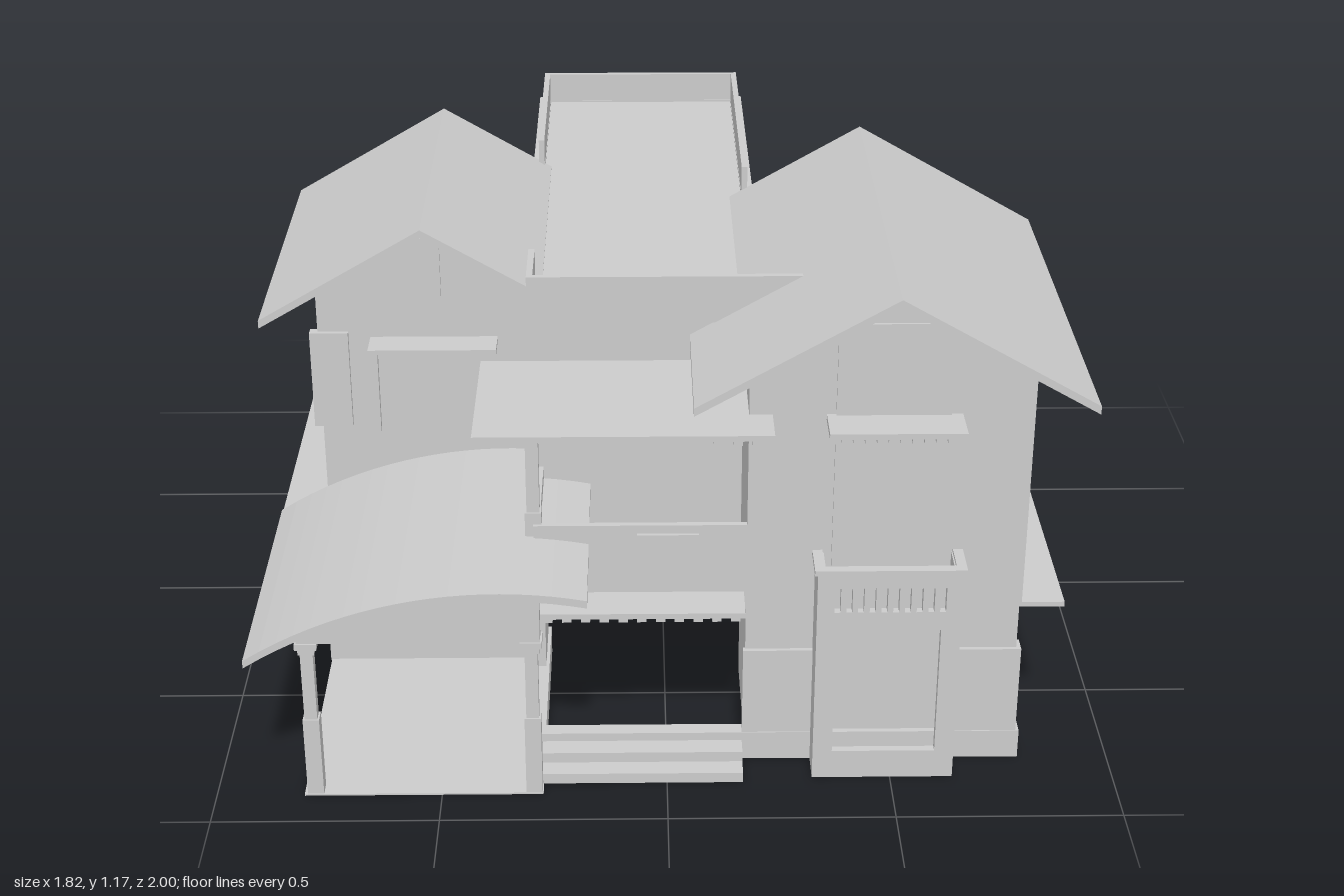
import * as THREE from 'three';

const grey = new THREE.MeshStandardMaterial({ color: 0xcccccc, side: THREE.DoubleSide, flatShading: true });

export function createModel() {
  const house = new THREE.Group();
  house.name = 'house';

  const add = (name, geometry, parent = house) => {
    const mesh = new THREE.Mesh(geometry, grey);
    mesh.name = name;
    parent.add(mesh);
  };
  // box from its two opposite corners
  const box = (name, x0, x1, y0, y1, z0, z1, parent) => {
    const g = new THREE.BoxGeometry(x1 - x0, y1 - y0, z1 - z0);
    g.translate((x0 + x1) / 2, (y0 + y1) / 2, (z0 + z1) / 2);
    add(name, g, parent);
  };
  const shapeOf = (pts) => new THREE.Shape(pts.map(([x, y]) => new THREE.Vector2(x, y)));
  // front profile pushed along z
  const prism = (name, shape, z0, z1) => {
    const g = new THREE.ExtrudeGeometry(shape, { depth: z1 - z0, bevelEnabled: false });
    g.translate(0, 0, z0);
    add(name, g);
  };
  // chain of axis-aligned walls centred on a plan path
  const walls = (name, path, y0, y1, t) => {
    const group = new THREE.Group();
    group.name = name;
    for (let i = 0; i < path.length - 1; i++) {
      const [ax, az] = path[i], [bx, bz] = path[i + 1];
      box(name + 'Run', Math.min(ax, bx) - t / 2, Math.max(ax, bx) + t / 2, y0, y1,
        Math.min(az, bz) - t / 2, Math.max(az, bz) + t / 2, group);
    }
    house.add(group);
  };

  // ground floor: open-bottomed wall shell with an open entrance
  walls('groundWall', [[-0.29, 0.48], [-0.29, 0.33], [-0.78, 0.33], [-0.78, -0.89], [0.77, -0.89],
    [0.77, 0.75], [0.185, 0.75], [0.185, 0.48]], 0.05, 0.395, 0.02);
  walls('plinth', [[-0.29, 0.755], [-0.29, 0.33], [-0.79, 0.33], [-0.79, -0.89], [0.78, -0.89],
    [0.78, 0.755], [-0.29, 0.755]], 0, 0.07, 0.035);

  // projecting floor band, open over the hollow interior (plan drawn with y = -z)
  const band = shapeOf([[-0.9, 1], [0.88, 1], [0.88, -0.76], [-0.29, -0.76], [-0.29, -0.33], [-0.9, -0.33]]);
  band.holes.push(shapeOf([[-0.77, 0.88], [0.76, 0.88], [0.76, -0.74], [0.195, -0.74], [0.195, -0.465],
    [-0.28, -0.465], [-0.28, -0.32], [-0.77, -0.32]]));
  const bandGeometry = new THREE.ExtrudeGeometry(band, { depth: 0.012, bevelEnabled: false });
  bandGeometry.rotateX(-Math.PI / 2);
  bandGeometry.translate(0, 0.389, 0);
  add('floorBand', bandGeometry);

  // gabled wings: end walls and roof
  const wing = (name, cx, half, z0, z1, ridge, slope, roofL, roofR, rz0, rz1) => {
    const t = 0.019, eave = ridge - t - slope * half;
    const gable = shapeOf([[cx - half, 0.395], [cx + half, 0.395], [cx + half, eave],
      [cx, ridge - t], [cx - half, eave]]);
    prism(name + 'BackWall', gable, z0, z0 + 0.012);
    prism(name + 'FrontWall', gable, z1 - 0.012, z1);
    const yl = ridge - slope * (cx - roofL), yr = ridge - slope * (roofR - cx);
    prism(name + 'Roof', shapeOf([[roofL, yl], [roofL, yl - t], [cx, ridge - t], [roofR, yr - t],
      [roofR, yr], [cx, ridge]]), rz0, rz1);
  };
  wing('leftWing', -0.54, 0.25, -0.3, 0.33, 1.15, 0.585, -0.91, -0.275, -0.39, 0.41);
  wing('rightWing', 0.48, 0.305, -0.09, 0.76, 1.172, 0.575, 0.055, 0.905, -0.185, 0.85);
  walls('leftWingSide', [[-0.784, -0.294], [-0.784, 0.324]], 0.395, 0.985, 0.012);
  walls('rightWingSide', [[0.779, -0.084], [0.779, 0.754]], 0.395, 0.977, 0.012);
  walls('rightWingInnerSide', [[0.181, 0.754], [0.181, 0.476]], 0.395, 0.977, 0.012);

  // central block: exposed walls, flat roof, parapets and ledge
  walls('centralWall', [[-0.299, -0.294], [-0.299, -0.894], [0.204, -0.894], [0.204, -0.084]], 0.395, 0.99, 0.012);
  walls('centralFrontWall', [[-0.299, 0.324], [-0.299, 0.476], [0.181, 0.476]], 0.395, 0.99, 0.012);
  box('flatRoof', -0.305, 0.21, 0.98, 0.992, -0.9, 0.48);
  walls('roofParapet', [[-0.298, -0.383], [-0.298, -0.893], [0.203, -0.893], [0.203, -0.19]], 0.98, 1.07, 0.014);
  walls('frontParapet', [[-0.298, 0.335], [-0.298, 0.481], [0.3, 0.481]], 0.96, 1.07, 0.014);
  walls('roofLedge', [[-0.305, -0.385], [-0.305, -0.9], [0.21, -0.9], [0.21, -0.19]], 0.985, 0.997, 0.03);

  // rear terraces
  box('leftTerraceFloor', -0.785, -0.3, 0.52, 0.53, -0.895, -0.29);
  box('rightTerraceFloor', 0.2, 0.775, 0.52, 0.53, -0.895, -0.08);
  walls('leftTerraceParapet', [[-0.785, -0.3], [-0.785, -0.893], [-0.3, -0.893]], 0.395, 0.6, 0.014);
  walls('rightTerraceParapet', [[0.778, -0.09], [0.778, -0.893], [0.2, -0.893]], 0.395, 0.6, 0.014);

  // front balcony, canopies with dentils and hanging lamps
  walls('balconyParapet', [[-0.283, 0.48], [-0.283, 0.753], [0.18, 0.753]], 0.395, 0.6, 0.014);
  box('balconyPlaque', -0.065, 0.07, 0.545, 0.58, 0.76, 0.768);
  const canopy = (name, x0, x1, y, z0, z1, dx0, dx1, count) => {
    box(name, x0, x1, y, y + 0.013, z0, z1);
    const step = (dx1 - dx0) / count;
    for (let i = 0; i < count; i++) {
      const x = dx0 + step * (i + 0.25);
      box(name + 'Dentil', x, x + step * 0.5, y - 0.02, y, z0, z1 - 0.02);
    }
  };
  canopy('upperCanopy', -0.41, 0.225, 0.855, 0.488, 0.86, -0.28, 0.21, 12);
  canopy('entranceCanopy', -0.28, 0.17, 0.42, 0.755, 0.853, -0.28, 0.17, 11);
  canopy('rightWindowCanopy', 0.34, 0.63, 0.855, 0.755, 0.855, 0.36, 0.61, 10);
  for (const [y, z] of [[0.82, 0.73], [0.365, 0.7]]) box('lamp', -0.068, -0.057, y, y + 0.04, z, z + 0.012);

  // flat awnings over side and rear windows
  for (const [x0, x1, z0, z1] of [[-0.19, 0.075, -1, -0.9], [-0.79, -0.58, -0.4, -0.3], [-0.4, -0.3, -0.48, -0.32],
    [0.2, 0.435, -0.19, -0.09], [-0.67, -0.38, 0.33, 0.405]]) box('awning', x0, x1, 0.845, 0.856, z0, z1);

  // wall trim
  box('gableVent', -0.575, -0.505, 0.95, 1.1, 0.328, 0.338);
  box('leftWindowFrame', -0.808, -0.72, 0.635, 0.87, 0.315, 0.342);
  box('leftDoorJamb', -0.67, -0.655, 0.62, 0.845, 0.325, 0.345);
  box('rightWindowPanel', 0.36, 0.605, 0.5, 1.08, 0.755, 0.766);
  box('leftStoneCladding', 0.17, 0.325, 0, 0.285, 0.755, 0.77);
  box('rightStoneCladding', 0.635, 0.79, 0, 0.285, 0.73, 0.77);

  // projecting window bay: pierced front, sides and a rim around its open top
  const bay = shapeOf([[0.325, 0], [0.64, 0], [0.64, 0.53], [0.325, 0.53]]);
  const hole = (x0, x1, y0, y1) => bay.holes.push(shapeOf([[x0, y0], [x0, y1], [x1, y1], [x1, y0]]));
  for (let i = 0; i < 10; i++) hole(0.363 + i * 0.0255, 0.376 + i * 0.0255, 0.43, 0.49);
  hole(0.368, 0.597, 0.07, 0.385);
  prism('bayFront', bay, 0.83, 0.848);
  for (const x of [0.325, 0.622]) box('baySide', x, x + 0.018, 0, 0.53, 0.75, 0.835);
  walls('bayRim', [[0.329, 0.765], [0.329, 0.843], [0.636, 0.843], [0.636, 0.765]], 0.525, 0.537, 0.022);

  // carport: floor, arched roof, beam and columns
  box('carportFloor', -0.805, -0.275, 0, 0.004, 0.33, 0.905);
  const R = 0.99, cx = -0.36, top = 0.573;
  const arc = (x, drop) => [x, top - drop - R + Math.sqrt(R * R - (x - cx) ** 2)];
  const span = (x0, x1, drop, n = 20) => Array.from({ length: n + 1 }, (_, i) => arc(x0 + (x1 - x0) * i / n, drop));
  prism('archedRoof', shapeOf([...span(-0.9, -0.17, 0), ...span(-0.17, -0.9, 0.018)]), 0.34, 1);
  prism('archedBeam', shapeOf([[-0.8, 0.395], [-0.275, 0.395], ...span(-0.275, -0.8, 0.012)]), 0.87, 0.905);

  const column = (x, z, y0, y1) => {
    const group = new THREE.Group();
    group.name = 'column';
    const h = y1 - y0, mid = y0 + h * 0.5;
    const block = (name, half, a, b) => box(name, x - half, x + half, a, b, z - half, z + half, group);
    block('columnBase', 0.018, y0, mid);
    block('columnShaft', 0.014, mid, y1);
    block('columnNeck', 0.018, y1 - 0.03, y1 - 0.015);
    block('columnCapital', 0.024, y1 - 0.015, y1);
    house.add(group);
  };
  column(-0.78, 0.885, 0, 0.395);
  column(-0.295, 0.885, 0, 0.395);
  column(-0.29, 0.735, 0.4, 0.855);

  // front and back steps
  box('frontStepLow', -0.28, 0.17, 0, 0.025, 0.76, 0.865);
  box('frontStepHigh', -0.28, 0.17, 0.025, 0.05, 0.76, 0.82);
  box('backStepLow', -0.48, -0.22, 0, 0.022, -1, -0.9);
  box('backStepHigh', -0.48, -0.22, 0.022, 0.045, -0.955, -0.9);

  return house;
}
